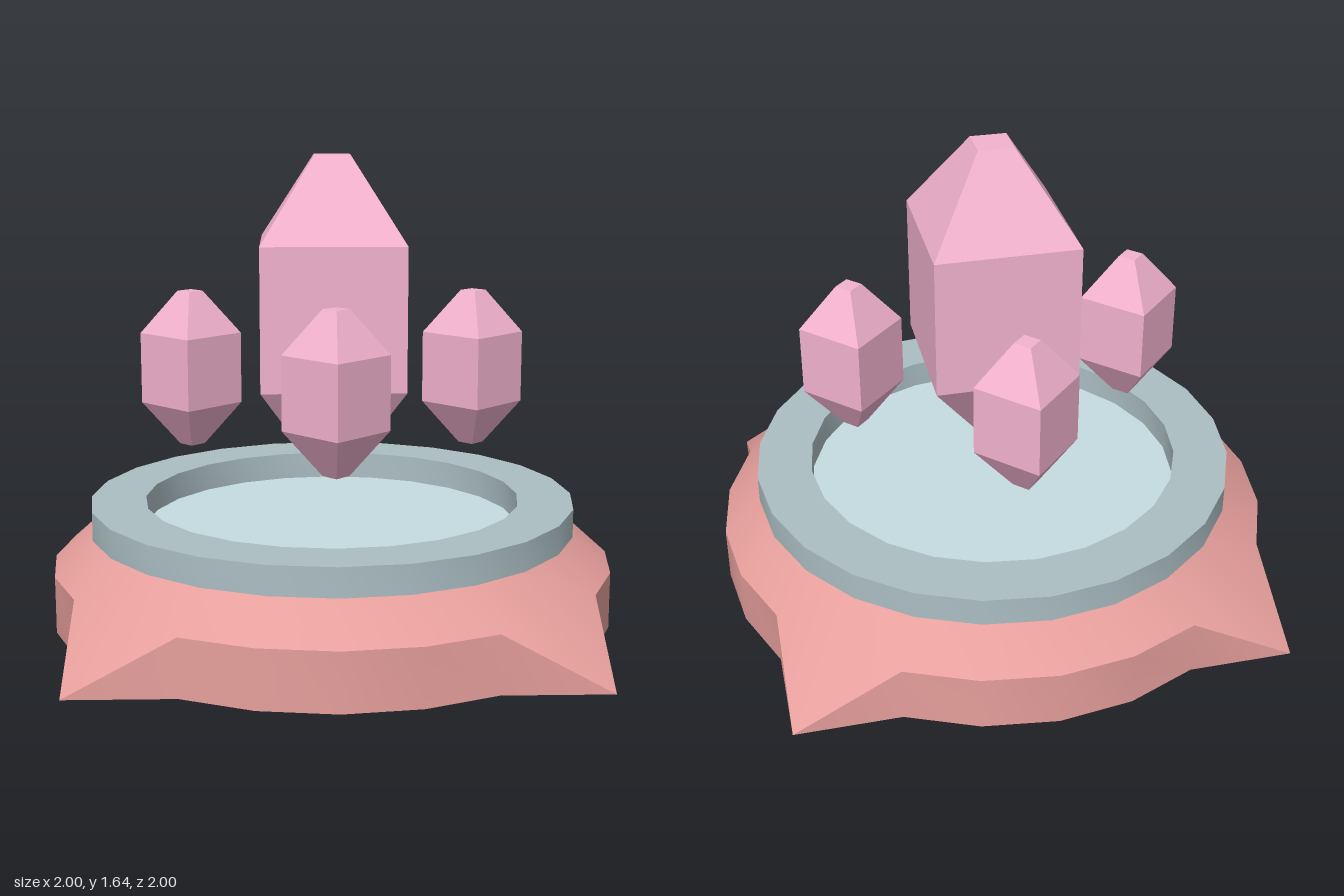
import * as THREE from 'three';
import { toCreasedNormals } from 'three/addons/utils/BufferGeometryUtils.js';

const SIDES = 24;
const CORNER = 0.866;

function lathe(profile, sides) {
  return new THREE.LatheGeometry(profile.map(([r, y]) => new THREE.Vector2(r, y)), sides);
}

function part(name, geometry, color, flatShading = false) {
  const mesh = new THREE.Mesh(geometry, new THREE.MeshStandardMaterial({ color, flatShading }));
  mesh.name = name;
  return mesh;
}

// Round plinth whose four diagonal rim points are pulled out into ground-level spikes
function plinthGeometry() {
  const geo = lathe([[0, 0], [1, 0], [1, 0.2], [0.866, 0.32]], SIDES);
  const pos = geo.attributes.position;
  for (let i = 0; i < pos.count; i++) {
    const x = pos.getX(i), z = pos.getZ(i);
    const onRim = Math.hypot(x, z) > 0.95;
    if (onRim && Math.abs(Math.abs(x) - Math.abs(z)) < 0.01) {
      pos.setXYZ(i, Math.sign(x) * CORNER, 0, Math.sign(z) * CORNER);
    }
  }
  return toCreasedNormals(geo, 0.5);
}

// Four-sided crystal with blunt tips, centred on its own origin
function crystal(name, scale) {
  const geo = lathe([[0, -0.55], [0.088, -0.55], [0.354, -0.25], [0.354, 0.25], [0.088, 0.55], [0, 0.55]], 4);
  geo.scale(scale, scale, scale);
  return part(name, geo, 0xf2b2ce, true);
}

export function createModel() {
  const model = new THREE.Group();
  model.name = 'crystalPedestal';

  model.add(part('plinth', plinthGeometry(), 0xe69f9c));

  // Raised rim around the sunken floor
  const rim = lathe([[0.67, 0.32], [0.866, 0.32], [0.866, 0.42], [0.67, 0.42], [0.67, 0.32]], SIDES);
  model.add(part('rim', toCreasedNormals(rim, 0.5), 0xabbec3));

  const floor = part('floor', new THREE.CircleGeometry(0.67, SIDES).rotateX(-Math.PI / 2), 0xc6dce1);
  floor.position.y = 0.32;
  model.add(floor);

  // Large floating crystal, squared to the front
  const main = crystal('mainCrystal', 1);
  main.position.y = 1.09;
  main.rotation.y = Math.PI / 4;
  model.add(main);

  // Four half-size crystals around it
  ['front', 'left', 'back', 'right'].forEach((side, i) => {
    const small = crystal(side + 'Crystal', 0.5);
    const a = i * Math.PI / 2;
    small.position.set(Math.sin(a) * 0.5, 0.89, Math.cos(a) * 0.5);
    model.add(small);
  });

  return model;
}
